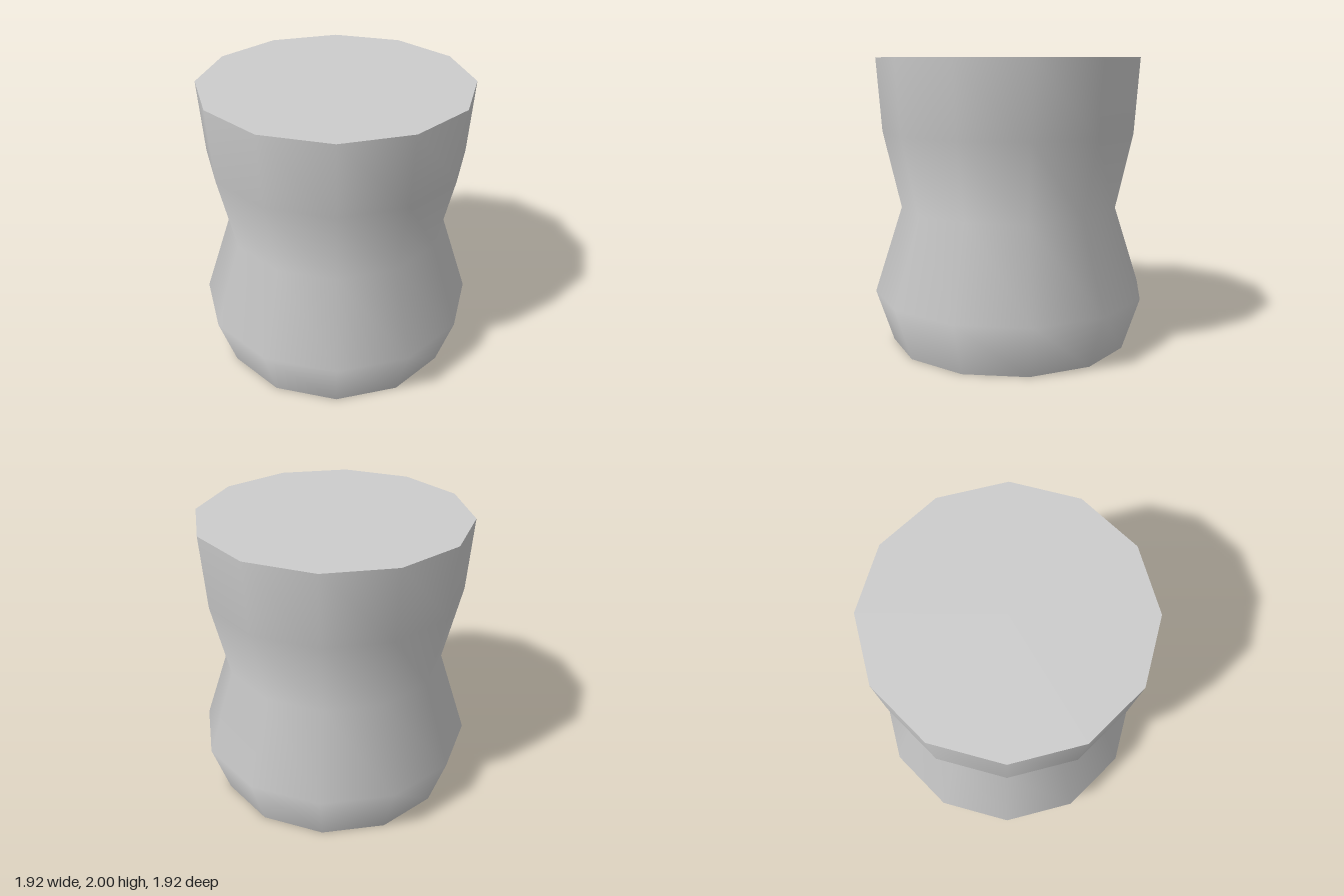
import * as THREE from 'three';

const SIDES = 12;

export function createModel() {
  const group = new THREE.Group();
  group.name = 'waistedDrum';
  const grey = new THREE.MeshStandardMaterial({ color: 0xcccccc });
  grey.name = 'light grey';

  // Outline from the foot up: bulge, waist, flared rim
  const profile = [
    [0.84, 0], [0.96, 0.365], [0.765, 0.965], [0.885, 1.5], [0.92, 2],
  ].map(([r, y]) => new THREE.Vector2(r, y));

  const add = (name, geometry) => {
    const mesh = new THREE.Mesh(geometry, grey);
    mesh.name = name;
    group.add(mesh);
    return mesh;
  };

  // Smooth-shaded twelve-sided wall
  add('body', new THREE.LatheGeometry(profile, SIDES));

  // Flat caps close both ends
  const cap = (name, { x: radius, y }, facing) => {
    const disc = new THREE.CircleGeometry(radius, SIDES).rotateX(-facing * Math.PI / 2);
    add(name, disc).position.y = y;
  };
  cap('topCap', profile[profile.length - 1], 1);
  cap('bottomCap', profile[0], -1);

  return group;
}
